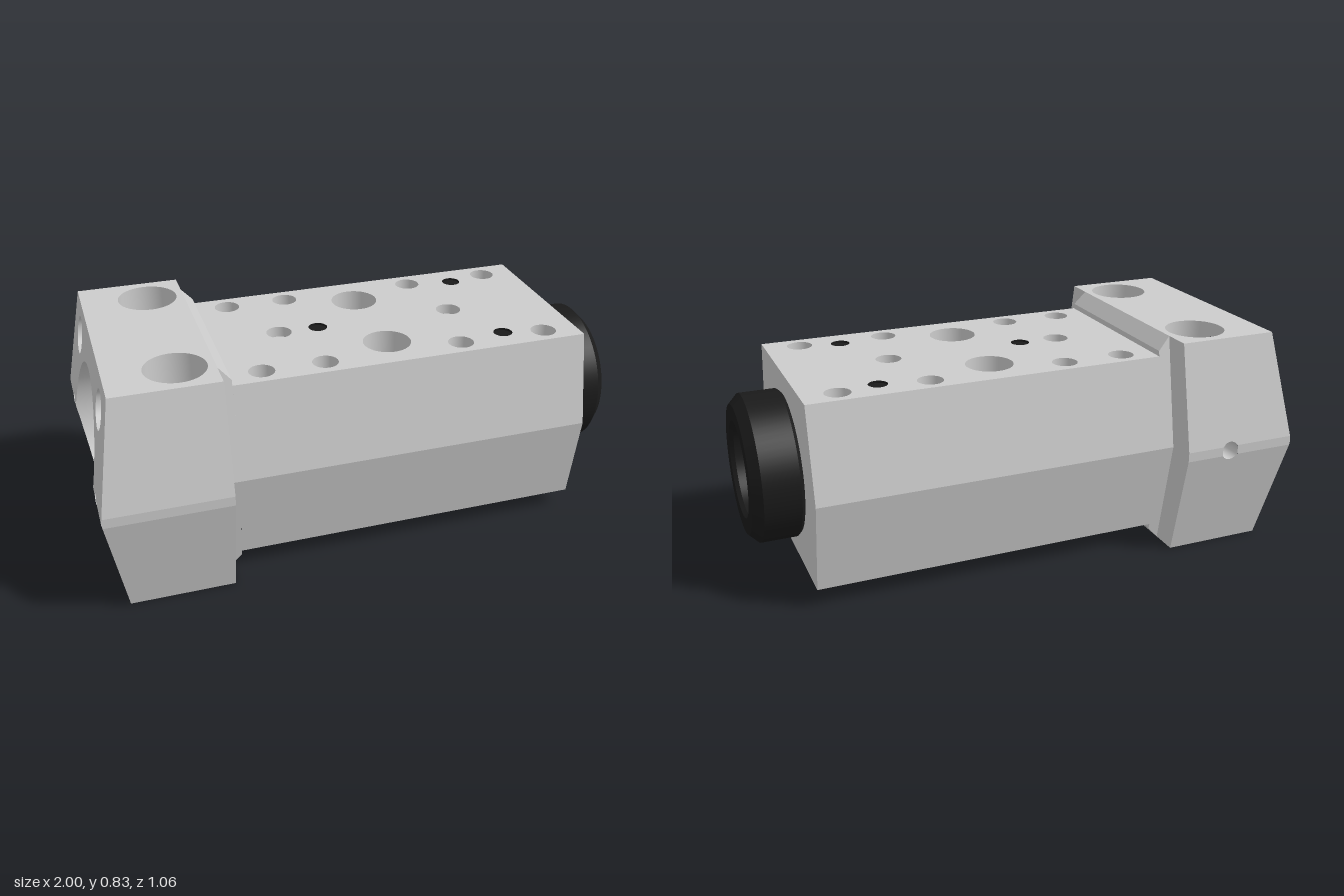
import * as THREE from 'three';
import { mergeGeometries } from 'three/addons/utils/BufferGeometryUtils.js';

const MID = 0.415;                       // height of the main axis
const V = (x, y, z) => new THREE.Vector3(x, y, z);
const UP = V(0, 1, 0);
const HEAD = { h: 0.415, top: 0.445, mid: 0.53, band: 0.018, end: -0.55 };
const BODY = { h: 0.345, top: 0.355, mid: 0.42, x0: -0.505, x1: 0.82 };
const BORE = 0.165;
const endX = h => -1 + 0.07 * Math.abs(h) / HEAD.h;
const sideZ = h => HEAD.mid - (HEAD.mid - HEAD.top) * Math.max(0, Math.abs(h) - HEAD.band) / (HEAD.h - HEAD.band);

// Flat-shaded triangles turned to face along n
function oriented(p, n) {
  const g = new THREE.BufferGeometry();
  g.setAttribute('position', new THREE.Float32BufferAttribute(p, 3));
  g.computeVertexNormals();
  const a = g.attributes.normal.array;
  let dot = 0;
  for (let i = 0; i < a.length; i += 3) dot += a[i] * n.x + a[i + 1] * n.y + a[i + 2] * n.z;
  if (dot >= 0) return g;
  const q = [];
  for (let i = 0; i < p.length; i += 9) q.push(...p.slice(i, i + 3), ...p.slice(i + 6, i + 9), ...p.slice(i + 3, i + 6));
  return oriented(q, n);
}

// A 2D shape laid into space by a rule
function face(shape, place, n) {
  const pos = new THREE.ShapeGeometry(shape, 24).toNonIndexed().attributes.position;
  const p = [];
  for (let i = 0; i < pos.count; i++) p.push(...place(pos.getX(i), pos.getY(i)).toArray());
  return oriented(p, n);
}
const poly = pts => new THREE.Shape(pts.map(p => new THREE.Vector2(p[0], p[1])));
function quad(a, b, c, d, n) {
  return oriented([a, b, c, a, c, d].flatMap(v => v.toArray()), n);
}
function punch(shape, holes) {
  for (const [x, y, r] of holes) shape.holes.push(new THREE.Path().absarc(x, y, r, 0, Math.PI * 2, false));
  return shape;
}

// Turned surface with sharp profile corners; y = 0 is the mouth, dir points out of it.
// Triangles whose centre fails keep() are left out, clamp() trims the mouth.
function turned(mouth, dir, profile, { rows = 1, segs = 48, keep = null, clamp = null } = {}) {
  const parts = [];
  const q = new THREE.Quaternion().setFromUnitVectors(UP, dir);
  for (let i = 0; i + 1 < profile.length; i++) {
    const a = new THREE.Vector2(...profile[i]), b = new THREE.Vector2(...profile[i + 1]);
    const pts = Array.from({ length: rows + 1 }, (_, k) => a.clone().lerp(b, k / rows));
    let g = new THREE.LatheGeometry(pts, segs).toNonIndexed();
    g.deleteAttribute('uv');
    g.applyQuaternion(q).translate(mouth.x, mouth.y, mouth.z);
    const P = g.attributes.position, N = g.attributes.normal, p = [], nn = [];
    for (let t = 0; t < P.count; t += 3) {
      const v = [0, 1, 2].map(k => V().fromBufferAttribute(P, t + k));
      const c = V(0, 0, 0).add(v[0]).add(v[1]).add(v[2]).divideScalar(3);
      if (keep && !keep(c)) continue;
      v.forEach((w, k) => {
        if (clamp) clamp(w);
        p.push(w.x, w.y, w.z);
        nn.push(N.getX(t + k), N.getY(t + k), N.getZ(t + k));
      });
    }
    g = new THREE.BufferGeometry();
    g.setAttribute('position', new THREE.Float32BufferAttribute(p, 3));
    g.setAttribute('normal', new THREE.Float32BufferAttribute(nn, 3));
    parts.push(g);
  }
  return mergeGeometries(parts);
}
const blind = (r, d) => [[r, 0], [r, -d], [0, -d]];

export function createModel() {
  const group = new THREE.Group();
  const grey = new THREE.MeshStandardMaterial({ color: 0xcccccc });
  const black = new THREE.MeshStandardMaterial({ color: 0x1a1a1a });
  const add = (name, geos, mat = grey) => {
    const m = new THREE.Mesh(mergeGeometries(geos), mat);
    m.name = name;
    group.add(m);
  };

  // Hole layout
  const through = [-1, 1].map(s => [0.105, s * 0.193, 0.088]);
  const bolts = [-0.385, -0.155, 0.36, 0.69].flatMap(x => [[x, 0.28, 0.047], [x, -0.28, 0.047]]);
  const pins = [[-0.1, 0, 0.035], [0.54, 0.25, 0.035], [0.54, -0.25, 0.035]];
  const ports = [[-0.25, 0, 0.047], [0.425, 0, 0.047]];
  const pocket = { x: -0.685, z: 0.3, r: 0.11 }, screw = { o: 0.3, r: 0.07 };
  const inThrough = c => Math.hypot(c.x - 0.105, Math.abs(c.z) - 0.193) < 0.088;
  const inBore = c => Math.hypot(c.y - MID, c.z) < BORE;
  const inPocket = c => Math.hypot(c.x - pocket.x, Math.abs(c.z) - pocket.z) < pocket.r;
  const inScrew = c => c.x < pocket.x && Math.hypot(Math.abs(c.y - MID) - screw.o, Math.abs(c.z) - screw.o) < screw.r;

  const body = [], holes = [], head = [], collar = [], headHoles = [];
  const { x0, x1 } = BODY;
  for (const sy of [-1, 1]) {
    const n = V(0, sy, 0), at = (x, h, z) => V(x, MID + sy * h, z);

    // Body: drilled plate and sloping sides
    const b = BODY;
    const plate = poly([[x0, -b.top], [x1, -b.top], [x1, b.top], [x0, b.top]]);
    punch(plate, [...through, ...bolts, ...pins, ...(sy > 0 ? ports : [])]);
    body.push(face(plate, (x, z) => at(x, b.h, z), n));
    for (const [x, z, r] of [...bolts, ...(sy < 0 ? pins : [])]) holes.push(turned(at(x, b.h, z), n, blind(r, 0.1)));

    // Collar: bevelled step between head and body
    collar.push(quad(at(-0.55, 0.415, -0.342), at(-0.55, 0.415, 0.342), at(x0, 0.365, 0.351), at(x0, 0.365, -0.351), V(1, sy, 0)));
    collar.push(quad(at(x0, 0.365, -0.351), at(x0, 0.365, 0.351), at(x0, b.h, b.top), at(x0, b.h, -b.top), V(1, 0, 0)));

    // Head: top plate with screw pockets
    const H = HEAD, xe = endX(H.h);
    const lid = poly([[xe, -H.top], [H.end, -H.top], [H.end, H.top], [xe, H.top]]);
    punch(lid, [-1, 1].map(s => [pocket.x, s * pocket.z, pocket.r]));
    head.push(face(lid, (x, z) => at(x, H.h, z), n));

    // Head: sloping end face, half of the bore and locating holes cut from its lower edge
    const end = new THREE.Shape().moveTo(-H.mid, 0);
    for (const [c, r] of [[-0.37, 0.022], [0, 0.3], [0.37, 0.022]]) {
      end.lineTo(c - r, 0);
      end.absarc(c, 0, r, Math.PI, 0, true);
    }
    for (const [z, h] of [[H.mid, 0], [H.mid, H.band], [H.top, H.h], [-H.top, H.h], [-H.mid, H.band]]) end.lineTo(z, h);
    punch(end, [-1, 1].map(s => [s * screw.o, screw.o, screw.r]));
    head.push(face(end, (z, h) => at(endX(h), h, z), V(-1, 0, 0)));

    for (const sz of [-1, 1]) {
      const out = V(0, 0, sz);
      body.push(quad(at(x0, b.h, sz * b.top), at(x1, b.h, sz * b.top), at(x1, 0, sz * b.mid), at(x0, 0, sz * b.mid), out));
      collar.push(quad(at(-0.55, 0.415, sz * 0.342), at(x0, 0.365, sz * 0.351), at(x0, 0, sz * b.mid), at(-0.55, 0, sz * b.mid), out));

      // Head side; the rear one has a cross hole at mid height
      const side = new THREE.Shape().moveTo(endX(H.band), H.band);
      if (sz < 0) {
        const a = Math.asin(H.band / 0.035);
        side.lineTo(-0.73 - 0.035 * Math.cos(a), H.band);
        side.absarc(-0.73, 0, 0.035, Math.PI - a, a, true);
      }
      side.lineTo(H.end, H.band).lineTo(H.end, H.h).lineTo(xe, H.h);
      head.push(face(side, (x, h) => at(x, h, sz * sideZ(h)), out));
      const spans = sz < 0 ? [[-1, -0.762], [-0.698, H.end]] : [[-1, H.end]];
      for (const [p, q] of spans) {
        const z = sz * H.mid;
        head.push(quad(at(p, 0, z), at(q, 0, z), at(q, H.band, z), at(p === -1 ? endX(H.band) : p, H.band, z), out));
      }

      // Head: shoulder around the collar
      const shoulder = poly([[0.342, 0.415], [H.top, H.h], [H.mid, H.band], [H.mid, 0], [b.mid, 0]]);
      head.push(face(shoulder, (z, h) => at(H.end, h, sz * z), V(1, 0, 0)));

      // Screw pocket and the screw hole leading into it
      headHoles.push(turned(at(pocket.x, H.h, sz * pocket.z), n, blind(pocket.r, 0.21), { rows: 20, keep: c => !inScrew(c) }));
      headHoles.push(turned(at(-1, screw.o, sz * screw.o), V(-1, 0, 0), [[screw.r, 0], [screw.r, -0.3]],
        { rows: 30, keep: c => !inPocket(c), clamp: v => { v.x = Math.max(v.x, endX(v.y - MID)); } }));
    }
  }

  // Body end face
  const cap = poly([[BODY.top, BODY.h], [BODY.mid, 0], [BODY.top, -BODY.h], [-BODY.top, -BODY.h], [-BODY.mid, 0], [-BODY.top, BODY.h]]);
  body.push(face(punch(cap, [[0, 0, BORE]]), (z, h) => V(x1, MID + h, z), V(1, 0, 0)));

  // Cross holes through the body, open where they break into the bore
  for (const [x, z, r] of through) {
    holes.push(turned(V(x, MID + BODY.h, z), UP, [[r, 0], [r, -2 * BODY.h]], { rows: 50, segs: 64, keep: c => !inBore(c) }));
  }
  const topY = MID + BODY.h;
  for (const [x, z, r] of ports) holes.push(turned(V(x, topY, z), UP, [[r, 0], [r, -0.04], [0.022, -0.04]]));

  // Locating holes in the end and the rear cross hole
  for (const s of [-1, 1]) headHoles.push(turned(V(-1, MID, s * 0.37), V(-1, 0, 0), blind(0.022, 0.1)));
  headHoles.push(turned(V(-0.73, MID, -HEAD.mid), V(0, 0, -1), blind(0.035, 0.12),
    { rows: 4, clamp: v => { v.z = Math.max(v.z, -sideZ(v.y - MID)); } }));

  // Main bore with its wide counterbore
  const trim = v => { v.x = Math.max(v.x, endX(v.y - MID)); };
  const axis = V(-1, 0, 0), mouth = V(-1, MID, 0);
  const bore = [
    turned(mouth, axis, [[0.3, 0], [0.3, -0.14], [BORE, -0.14]], { segs: 96, clamp: trim }),
    turned(mouth, axis, [[BORE, -0.14], [BORE, -1.82]], { segs: 96, rows: 90, keep: c => !inThrough(c) }),
  ];

  add('body', body);
  add('bodyHoles', holes);
  add('collar', collar);
  add('head', head);
  add('headHoles', headHoles);
  add('mainBore', bore);

  // Dark plugs and port centres on top
  add('topPlugs', [
    ...pins.map(([x, z, r]) => turned(V(x, topY, z), UP, blind(r, 0.008))),
    ...ports.map(([x, z]) => turned(V(x, topY - 0.04, z), UP, blind(0.022, 0.01))),
  ], black);

  // Dark end ring with stepped inside
  add('endRing', [turned(V(0, MID, 0), V(1, 0, 0), [
    [0.127, 0.82], [0.262, 0.82], [0.273, 0.832], [0.273, 0.965], [0.238, 1], [0.178, 1], [0.168, 0.985],
    [0.168, 0.94], [0.152, 0.94], [0.152, 0.9], [0.136, 0.9], [0.127, 0.885], [0.127, 0.82],
  ], { segs: 64 })], black);

  return group;
}
